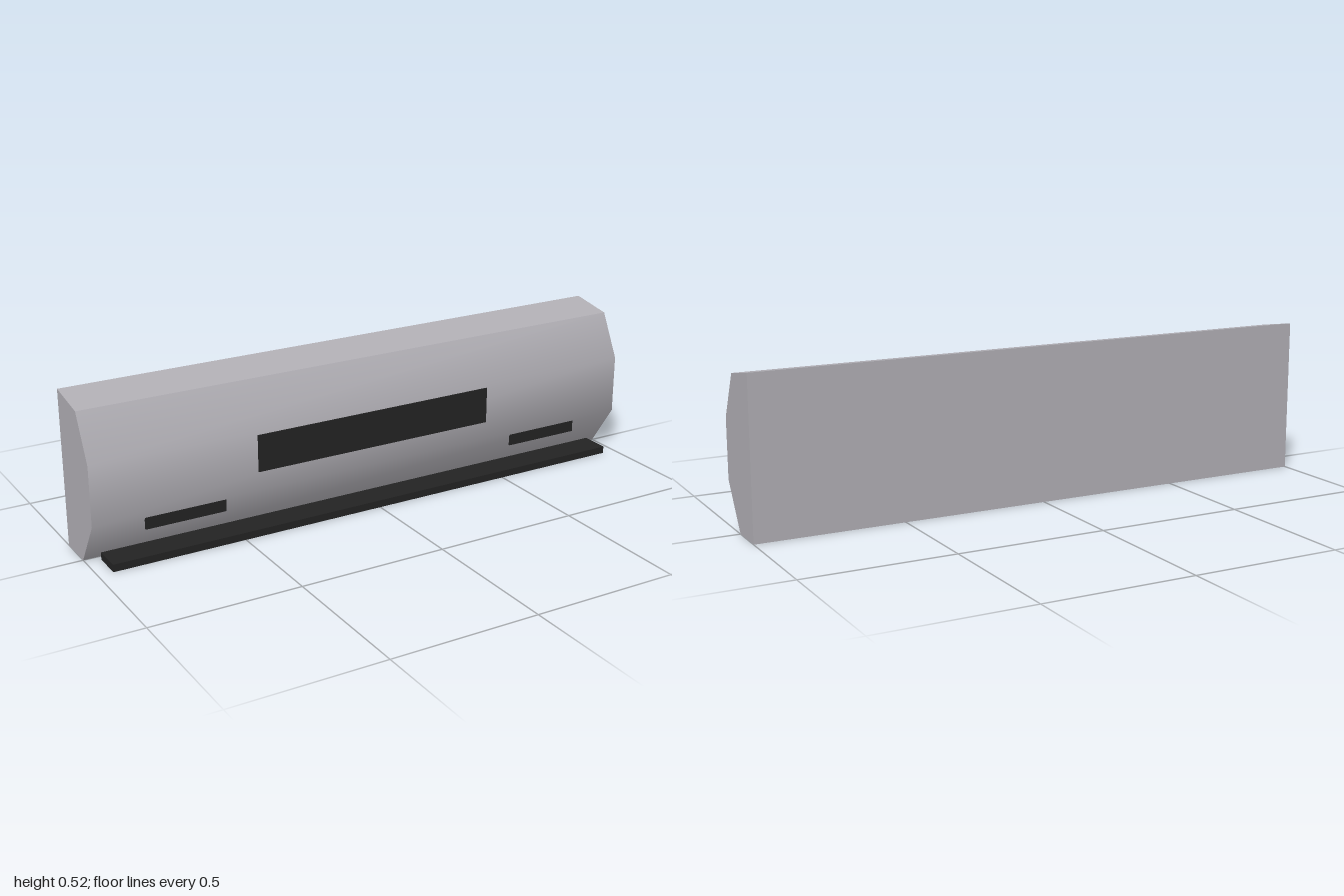
import * as THREE from 'three';
import { toCreasedNormals } from 'three/addons/utils/BufferGeometryUtils.js';

export function createModel() {
  const group = new THREE.Group();
  const shell = new THREE.MeshStandardMaterial({ name: 'silver grey', color: 0xb0aeb4 });
  const trim = new THREE.MeshStandardMaterial({ name: 'matte black', color: 0x232323 });

  // Main shell: side profile (z, y) extruded across the width, rounded over the front
  const profile = new THREE.Shape([
    [-0.125, 0], [0, 0], [0.1, 0.15], [0.1, 0.35], [0.025, 0.5], [-0.125, 0.525],
  ].map(([z, y]) => new THREE.Vector2(z, y)));
  const shellGeometry = new THREE.ExtrudeGeometry(profile, { depth: 2, bevelEnabled: false });
  shellGeometry.rotateY(-Math.PI / 2).translate(1, 0, 0);
  const body = new THREE.Mesh(toCreasedNormals(shellGeometry, 0.7), shell);
  body.name = 'bumperShell';
  group.add(body);

  // Black box spanning the given x, y and z ranges
  function addTrim(name, x0, x1, y0, y1, z0, z1) {
    const mesh = new THREE.Mesh(new THREE.BoxGeometry(x1 - x0, y1 - y0, z1 - z0), trim);
    mesh.position.set((x0 + x1) / 2, (y0 + y1) / 2, (z0 + z1) / 2);
    mesh.name = name;
    group.add(mesh);
  }

  // Lower splitter and central grille
  addTrim('splitter', -0.95, 0.95, 0, 0.025, 0.025, 0.125);
  addTrim('grille', -0.4375, 0.4375, 0.2125, 0.3375, 0.0965, 0.1035);

  // Slim vents either side
  addTrim('leftVent', 0.55, 0.825, 0.1, 0.14, 0.0875, 0.0936);
  addTrim('rightVent', -0.825, -0.55, 0.1, 0.14, 0.0875, 0.0936);

  return group;
}
